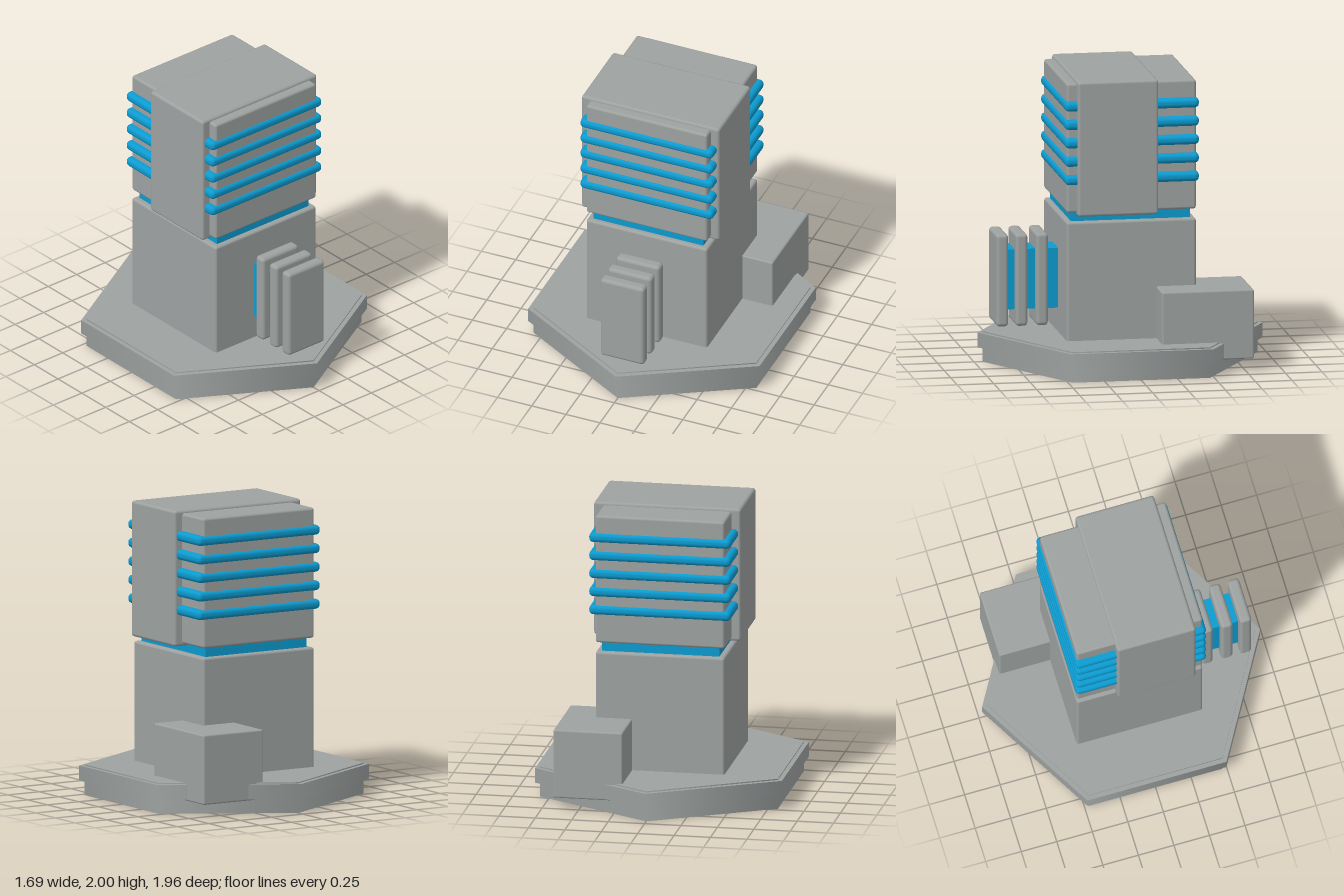
import * as THREE from 'three';
import { RoundedBoxGeometry } from 'three/addons/geometries/RoundedBoxGeometry.js';

export function createModel() {
  const model = new THREE.Group();
  model.name = 'machineTower';

  const grey = new THREE.MeshStandardMaterial({ color: 0x9da2a1 });
  grey.name = 'grey';
  const blue = new THREE.MeshStandardMaterial({ color: 0x0c9bd0 });
  blue.name = 'blue';

  const add = (name, geometry, material) => {
    const mesh = new THREE.Mesh(geometry, material);
    mesh.name = name;
    model.add(mesh);
    return mesh;
  };

  // Box given by its extents; a positive bevel rounds its edges
  const block = (name, material, [x0, x1], [y0, y1], [z0, z1], bevel = 0) => {
    const size = [x1 - x0, y1 - y0, z1 - z0];
    const geometry = bevel
      ? new RoundedBoxGeometry(...size, 2, bevel)
      : new THREE.BoxGeometry(...size);
    add(name, geometry, material)
      .position.set((x0 + x1) / 2, (y0 + y1) / 2, (z0 + z1) / 2);
  };

  // Six-sided slab with a point towards the front
  const hexSlab = (name, radius, y0, y1) => {
    add(name, new THREE.CylinderGeometry(radius, radius, y1 - y0, 6), grey)
      .position.y = (y0 + y1) / 2;
  };

  // Stepped base
  hexSlab('baseFoot', 0.942, 0, 0.11);
  hexSlab('basePlate', 0.978, 0.1, 0.202);
  hexSlab('baseTop', 0.942, 0.19, 0.21);

  // Tower: body, neck, head and the wide band around the head
  block('body', grey, [-0.443, 0.443], [0.19, 1.027], [-0.443, 0.443], 0.018);
  block('neck', blue, [-0.402, 0.402], [1.0, 1.12], [-0.408, 0.408]);
  block('head', grey, [-0.443, 0.443], [1.09, 1.98], [-0.443, 0.443], 0.018);
  block('headBand', grey, [-0.505, 0.505], [1.072, 2], [-0.175, 0.378], 0.02);

  // Cooling rings around the head
  for (let i = 0; i < 5; i++) {
    const y = 1.32 + i * 0.1265;
    block('coolingRing', blue, [-0.487, 0.487], [y - 0.034, y + 0.034], [-0.459, 0.459], 0.03);
  }

  // Front duct with three fins
  block('duct', blue, [-0.107, 0.107], [0.375, 0.787], [0.4, 0.82]);
  for (const z of [0.56, 0.7, 0.832]) {
    block('ductFin', grey, [-0.16, 0.16], [0.265, 0.9], [z - 0.041, z + 0.041], 0.025);
  }

  // Service box overhanging the base at the back
  block('serviceBox', grey, [0.19, 0.665], [0.09, 0.567], [-0.8, -0.17], 0.012);

  return model;
}
